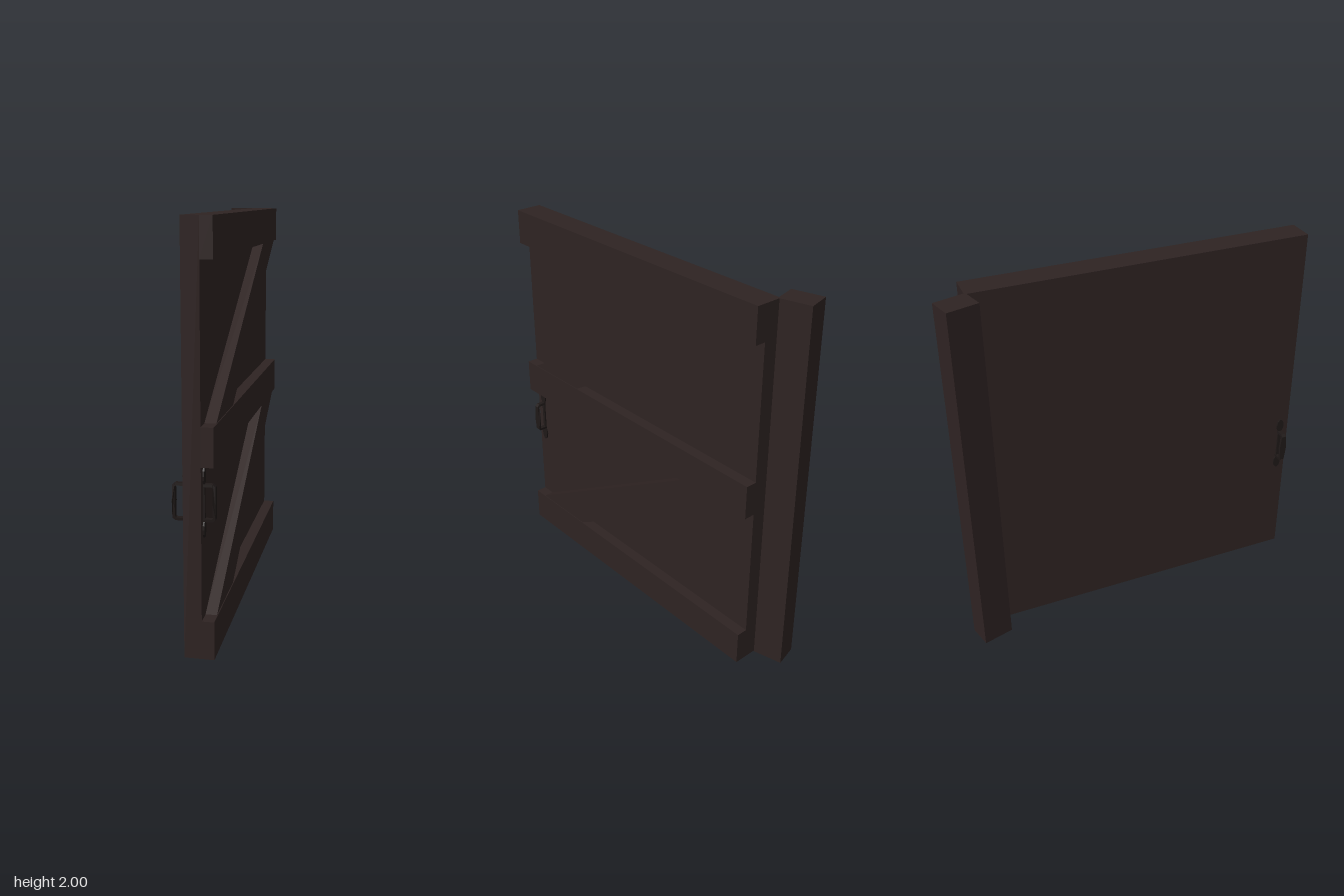
import * as THREE from 'three';

const wood = new THREE.MeshStandardMaterial({ color: 0x2e2322 });
wood.name = 'dark wood';
const iron = new THREE.MeshStandardMaterial({ color: 0x1f1918 });
iron.name = 'black iron';

const LENGTH = 1.77, BACK = -0.0705, FACE = 0.0125, OUTER = 0.0705;

function add(parent, name, geometry, material) {
  const mesh = new THREE.Mesh(geometry, material);
  mesh.name = name;
  parent.add(mesh);
  return mesh;
}

// box given by its limits
function box(parent, name, [x0, x1], [y0, y1], [z0, z1]) {
  const mesh = add(parent, name, new THREE.BoxGeometry(x1 - x0, y1 - y0, z1 - z0), wood);
  mesh.position.set((x0 + x1) / 2, (y0 + y1) / 2, (z0 + z1) / 2);
  return mesh;
}

function extrude(points, depth) {
  const shape = new THREE.Shape(points.map(([x, y]) => new THREE.Vector2(x, y)));
  return new THREE.ExtrudeGeometry(shape, { depth, bevelEnabled: false });
}

// pull handle on a back plate, reaching out along +x
function createHandle(name) {
  const handle = new THREE.Group();
  handle.name = name;

  // plate with a rounded leaf at each end
  const right = [[0.009, 0], [0.009, 0.085], [0.019, 0.105], [0.021, 0.125], [0.016, 0.148], [0.006, 0.162]];
  const upper = [...right, ...right.slice(1).reverse().map(([x, y]) => [-x, y])];
  const outline = [...upper, ...upper.map(([x, y]) => [-x, -y])];
  const plate = extrude(outline, 0.008);
  plate.rotateY(Math.PI / 2);
  add(handle, 'handlePlate', plate, iron);

  // bent grip, widest at mid height
  const outer = [[0, 0.088], [0.045, 0.088], [0.058, 0.076], [0.058, 0]];
  const inner = [[0.045, 0], [0.045, 0.07], [0.04, 0.075], [0, 0.075]];
  const flip = (list) => list.map(([x, y]) => [x, -y]).reverse();
  const grip = extrude([...flip(outer), ...outer.slice(0, 3).reverse(),
    ...inner.slice(1).reverse(), ...inner, ...flip(inner)].length ? [
    ...outer, ...flip(outer).slice(1), ...flip(inner), ...inner.slice(1)] : [], 1);
  grip.translate(0, 0, -0.5);
  const p = grip.attributes.position;
  for (let i = 0; i < p.count; i++) {
    p.setZ(i, p.getZ(i) * (0.04 - 0.2 * Math.abs(p.getY(i))));
  }
  grip.computeVertexNormals();
  add(handle, 'handleGrip', grip, iron);
  return handle;
}

export function createModel() {
  const model = new THREE.Group();
  model.name = 'gate';

  // hinge post
  box(model, 'post', [0.065, 0.19], [0, 2], [-0.955, -0.79]);

  // leaf, swung slightly open
  const leaf = new THREE.Group();
  leaf.name = 'leaf';
  leaf.position.set(0.02, 0, 0.0725);
  leaf.rotation.y = -Math.PI / 12;
  model.add(leaf);
  const span = [-LENGTH / 2, LENGTH / 2];
  box(leaf, 'panel', [BACK, FACE], [0.005, 2], span);

  // horizontal rails
  for (const [y0, y1] of [[0.005, 0.19], [0.915, 1.097], [1.817, 2]]) {
    box(leaf, 'rail', [FACE, OUTER], [y0, y1], span);
  }

  // diagonal braces between the rails
  for (const [y0, y1] of [[0.19, 0.915], [1.097, 1.817]]) {
    const brace = extrude([[-0.807, y0], [-0.424, y0], [0.819, y1], [0.436, y1]], 0.054);
    brace.rotateY(Math.PI / 2);
    add(leaf, 'brace', brace, wood).position.x = FACE;
  }

  // a handle on each side
  const front = createHandle('frontHandle');
  front.position.set(FACE, 0.74, 0.835);
  const back = createHandle('backHandle');
  back.position.set(BACK, 0.74, 0.835);
  back.rotation.y = Math.PI;
  leaf.add(front, back);

  return model;
}
